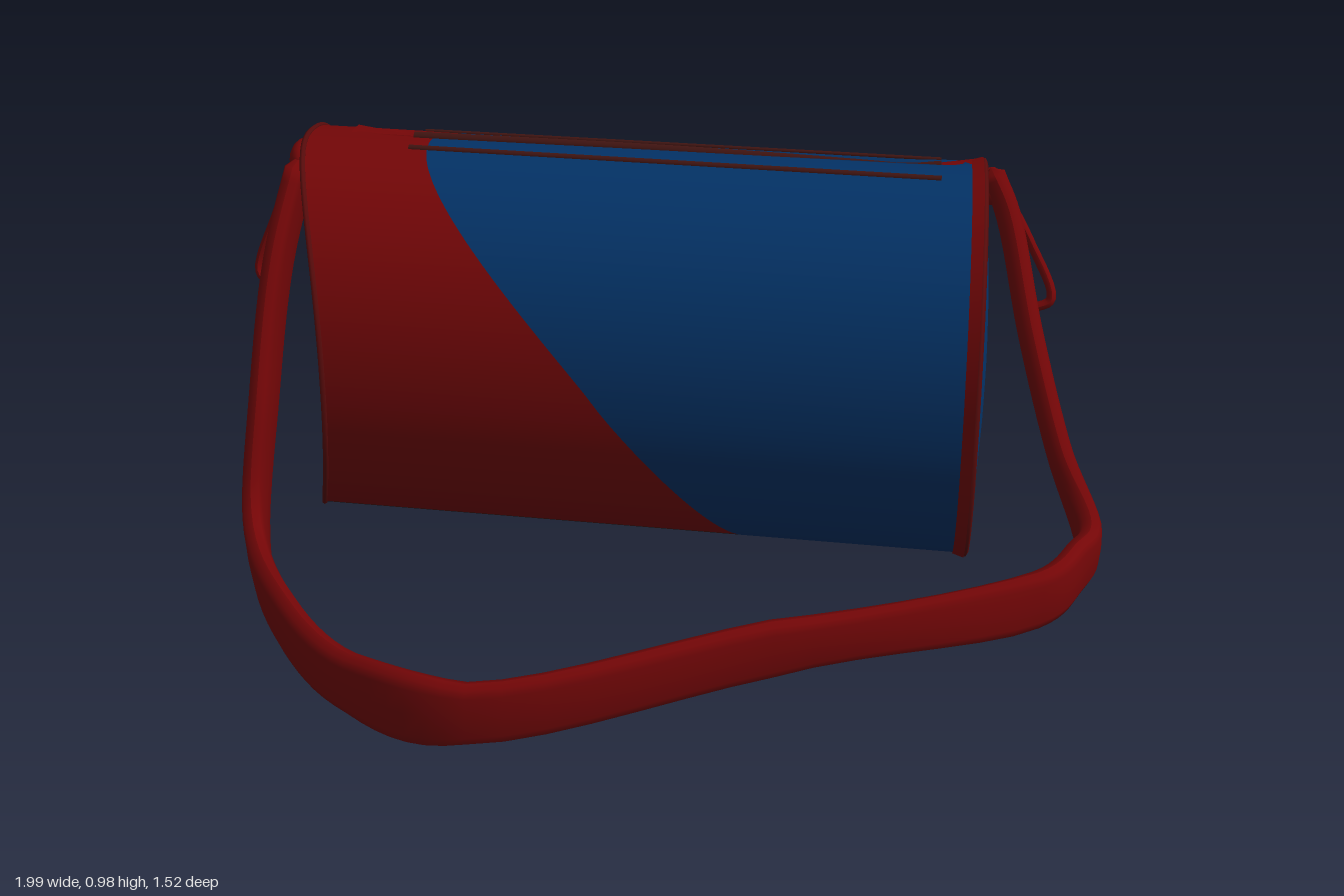
import * as THREE from 'three';

const material = (name, color) => Object.assign(new THREE.MeshStandardMaterial({ color }), { name });
const V = (x, y, z) => new THREE.Vector3(x, y, z);
const power = (n, e) => Math.sign(n) * Math.abs(n) ** e;
const { smoothstep, lerp } = THREE.MathUtils;

// Smooth surface from a rule f(u, v), with u and v running 0..1
function grid(f, nu, nv) {
  const pos = [], index = [];
  for (let i = 0; i <= nu; i++) for (let j = 0; j <= nv; j++) {
    pos.push(...f(i / nu, j / nv).toArray());
    if (i < nu && j < nv) {
      const a = i * (nv + 1) + j, b = a + 1, c = a + nv + 1, d = c + 1;
      index.push(a, b, c, b, d, c);
    }
  }
  const g = new THREE.BufferGeometry();
  g.setAttribute('position', new THREE.Float32BufferAttribute(pos, 3));
  g.setIndex(index);
  g.computeVertexNormals();
  return g;
}

// The end at -x leans: its front edge is set in, the top and back are not
const endX = a => -0.865 + 0.11 * Math.max(0, Math.sin(a)) ** 1.4;

// Point on the barrel: t runs along it, a is the angle (0 top, positive to the front)
function barrel(t, a) {
  const s = power(Math.sin(a), 0.93), c = power(Math.cos(a), 0.95);
  const dz = (0.41 - 0.008 * t) * s;
  let y = 0.505 + 0.455 * c;
  // Sunken opening along the top, steep under the front lip
  if (c > 0) {
    const along = smoothstep(t, 0.08, 0.2) * (1 - smoothstep(t, 0.88, 0.97));
    y -= 0.12 * along * smoothstep(dz, -0.15, -0.095) * (1 - smoothstep(dz, -0.075, -0.035));
  }
  return V(lerp(endX(a), 0.705, t), y, -0.345 + 0.09 * t + dz);
}

// Angle on the upper barrel at a distance dz from its middle
const angleAt = dz => Math.asin(power(dz / 0.406, 1 / 0.93));

// Where the slanted colour seam lies at angle a
function seam(a) {
  const c = Math.cos(a);
  const x = -0.135 - 0.395 * c - 0.04 * c * c + 0.05 * Math.max(0, -Math.sin(a));
  return (x - endX(a)) / (0.705 - endX(a));
}

// Padded strap swept through stations [x, y, z, width vector]
function strap(stations, thick, steps) {
  const path = new THREE.CatmullRomCurve3(stations.map(s => V(s[0], s[1], s[2])), false, 'centripetal');
  const widths = new THREE.CatmullRomCurve3(stations.map(s => V(s[3], s[4], s[5])));
  return grid((u, v) => {
    const p = path.getPoint(u);
    if (u === 0 || u === 1) return p;
    const w = widths.getPoint(u), n = path.getTangent(u).cross(w).normalize();
    const a = v * Math.PI * 2;
    return p.addScaledVector(w, power(Math.cos(a), 0.6)).addScaledVector(n, thick * power(Math.sin(a), 0.6));
  }, steps, 12);
}

export function createModel() {
  const bag = new THREE.Group();
  bag.name = 'duffelBag';
  const blue = material('blueCanvas', 0x033266);
  const red = material('redCanvas', 0x740607);
  const dark = material('darkBase', 0x2b1e1b);
  const brown = material('brownTrim', 0x421512);
  const piping = material('darkRedPiping', 0x580b0b);
  const add = (name, geometry, mat) => {
    const mesh = new THREE.Mesh(geometry, mat);
    mesh.name = name;
    bag.add(mesh);
    return mesh;
  };

  // Barrel, split along the slanted seam
  const PI = Math.PI, base = PI * 5 / 6;
  add('blueBody', grid((u, v) => {
    const a = -PI + 2 * PI * v, t = seam(a);
    return barrel(t + (1 - t) * u, a);
  }, 30, 240), blue);
  add('redBody', grid((u, v) => {
    const a = -base + 2 * base * v;
    return barrel(seam(a) * u, a);
  }, 18, 200), red);
  add('basePanel', grid((u, v) => {
    const a = base + (PI - base) * 2 * v;
    return barrel(seam(a) * u, a);
  }, 6, 20), dark);

  // End panels and their piping
  for (const [name, t, bulge] of [['left', 1, 0.03], ['right', 0, -0.01]]) {
    const middle = barrel(t, PI / 2).add(barrel(t, -PI / 2)).multiplyScalar(0.5);
    add(name + 'EndPanel', grid((u, v) => {
      const p = middle.clone().lerp(barrel(t, (t ? -1 : 1) * 2 * PI * v), u);
      p.x += bulge * (1 - u * u);
      return p;
    }, 5, 64), blue);
    const rim = [];
    for (let i = 0; i < 48; i++) rim.push(barrel(t, i / 48 * 2 * PI));
    add(name + 'Piping', new THREE.TubeGeometry(new THREE.CatmullRomCurve3(rim, true), 96, t ? 0.01 : 0.007, 6, true), piping);
  }
  // Raised red band around the left end
  add('leftBand', grid((u, v) => {
    const p = barrel(0.983 + 0.017 * u, -PI + 2 * PI * v);
    const out = V(0, p.y - 0.505, p.z + 0.257).normalize();
    return p.addScaledVector(out, 0.003 + 0.008 * u);
  }, 3, 96), red);

  // Worn edging on the lips of the opening
  for (const [name, from, to, r] of [
    ['frontLip', -0.03, -0.045, 0.012], ['flapSeam', 0.05, 0.058, 0.008], ['backLip', -0.15, -0.15, 0.005],
  ]) {
    const line = [];
    for (let i = 0; i <= 16; i++) {
      line.push(barrel(0.16 + 0.78 * i / 16, angleAt(lerp(from, to, i / 16))));
    }
    add(name, new THREE.TubeGeometry(new THREE.CatmullRomCurve3(line), 40, r, 6), brown);
  }

  // Worn patches on the wall inside the opening
  for (const [start, end] of [[0.24, 0.33], [0.40, 0.56]]) {
    add('wornPatch', grid((u, v) => barrel(start + (end - start) * u, angleAt(-0.085 + 0.045 * v))
      .add(V(0, 0.003, -0.006)), 6, 12), brown);
  }

  // Red tabs at the ends of the opening
  for (const [name, t, turn] of [['leftTab', 0.95, 1], ['rightTab', 0.1, -1]]) {
    const tab = add(name, new THREE.ConeGeometry(0.075, 0.2, 8), red);
    tab.position.copy(barrel(t, -0.12)).add(V(-0.04 * turn, -0.01, 0));
    tab.rotation.z = turn * PI / 2;
    tab.scale.x = 0.25;
  }

  // Shoulder strap hanging down both ends and looping out in front
  add('shoulderStrap', strap([
    [0.72, 0.96, -0.285, 0, 0.02, 0.07],
    [0.765, 0.86, -0.245, 0, 0.03, 0.062],
    [0.825, 0.63, -0.12, 0, 0.032, 0.058],
    [0.90, 0.40, 0.01, 0, 0.034, 0.052],
    [0.972, 0.235, 0.11, 0, 0.06, 0.02],
    [0.935, 0.225, 0.22, 0, 0.065, 0.005],
    [0.855, 0.215, 0.345, 0, 0.065, 0],
    [0.30, 0.17, 0.54, 0, 0.065, 0],
    [-0.32, 0.085, 0.727, 0, 0.07, 0],
    [-0.58, 0.085, 0.635, 0, 0.07, 0],
    [-0.77, 0.095, 0.42, 0, 0.068, 0],
    [-0.925, 0.13, 0.1, 0, 0.06, 0.025],
    [-0.93, 0.42, -0.06, 0, 0.03, 0.056],
    [-0.91, 0.70, -0.18, 0, 0.03, 0.058],
    [-0.865, 0.93, -0.3, 0, 0.02, 0.065],
  ], 0.027, 100), red);

  // Folded strap tails and the knots holding them
  add('leftStrapTail', strap([
    [0.74, 0.93, -0.29, 0, 0.01, 0.035],
    [0.82, 0.80, -0.23, 0, 0.01, 0.03],
    [0.868, 0.69, -0.18, 0, 0.01, 0.03],
    [0.82, 0.665, -0.18, 0, 0.01, 0.03],
  ], 0.01, 20), red);
  add('rightStrapTail', strap([
    [-0.87, 0.92, -0.3, 0, 0.01, 0.03],
    [-0.94, 0.77, -0.3, 0, 0.01, 0.03],
    [-0.985, 0.63, -0.29, 0, 0.01, 0.03],
    [-0.93, 0.605, -0.26, 0, 0.01, 0.03],
  ], 0.01, 20), red);
  for (const [name, x, z] of [['leftKnot', 0.725, -0.29], ['rightKnot', -0.87, -0.32]]) {
    const knot = add(name, new THREE.SphereGeometry(0.045, 12, 8), red);
    knot.position.set(x, 0.915, z);
    knot.scale.set(0.7, 0.9, 1.4);
  }
  return bag;
}
